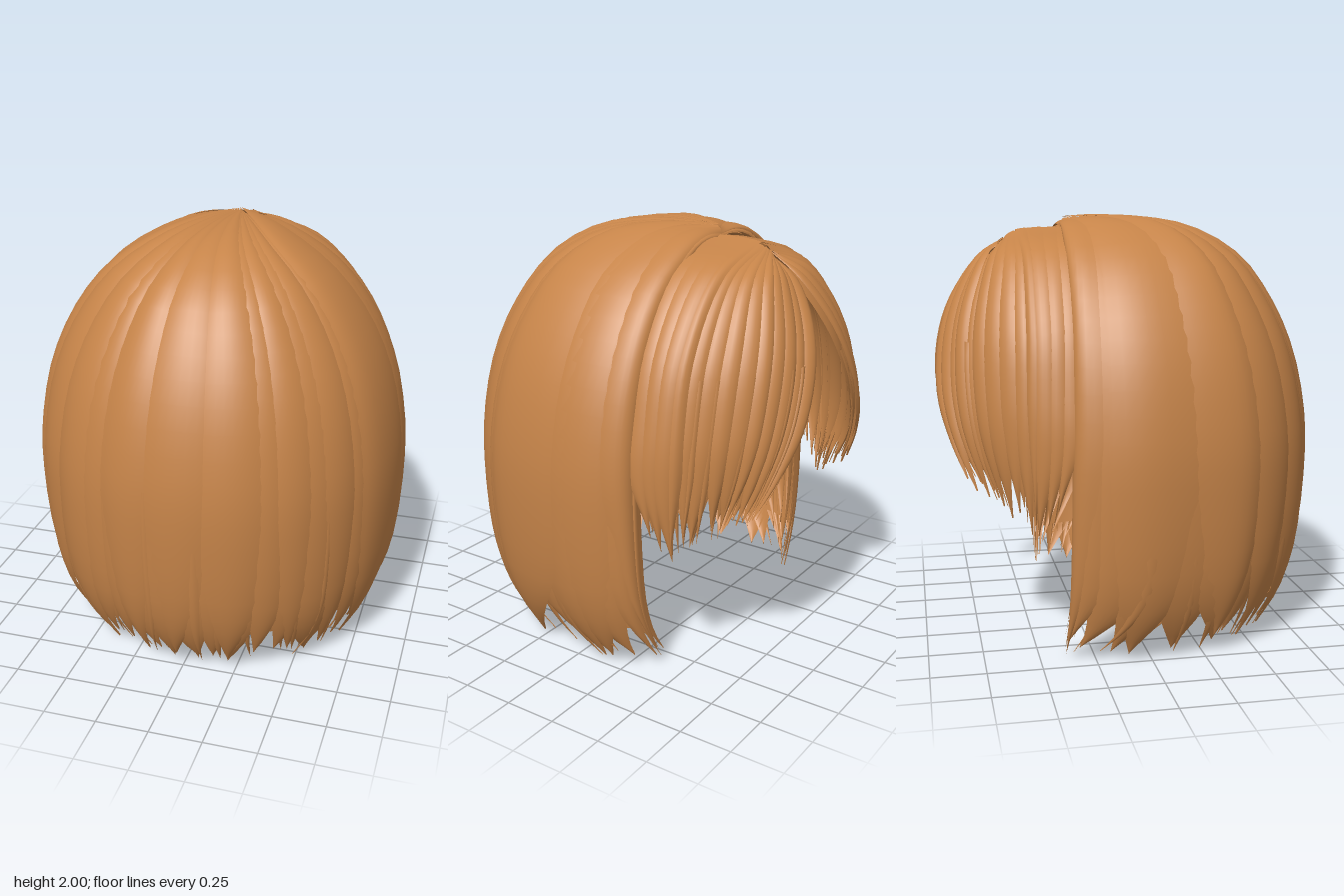
import * as THREE from 'three';

const hair = new THREE.MeshStandardMaterial({ color: 0xc68449, side: THREE.DoubleSide });
hair.name = 'chestnut hair';

const V = (x, y, z) => new THREE.Vector3(x, y, z);
const curve = pts => new THREE.CatmullRomCurve3(pts.map(p => V(...p)));
const { degToRad, smoothstep, lerp, clamp } = THREE.MathUtils;

let seed = 7;
const rnd = (a, b) => {
  seed = (seed * 16807) % 2147483647;
  return a + (b - a) * (seed / 2147483647);
};

// Bob outline from crown to hem: radius, height, z offset of the centre
const profile = curve([
  [0, 1.985, -0.28], [0.14, 1.988, -0.12], [0.3, 1.945, 0], [0.52, 1.81, 0.03],
  [0.7, 1.6, 0.015], [0.82, 1.35, 0.01], [0.885, 1.05, 0.01], [0.898, 0.78, 0.01],
  [0.875, 0.42, 0.005], [0.82, 0.2, 0], [0.72, 0.005, -0.01],
]);

// Point on the bob: angle in degrees from +z towards +x, t from crown to hem.
// Towards the face opening the strands gather along an almost upright edge.
function bobPoint(deg, t) {
  const p = profile.getPoint(Math.min(t, 1)), a = degToRad(deg);
  const w = smoothstep(Math.abs(deg), 62, 115);
  const z = lerp(p.z + p.x * Math.cos(a), -0.31 - 0.07 * t, w);
  const x = p.x * Math.sin(a) * (1 - 0.3 * Math.max(0, -z) * w);
  return V(x, p.y - 0.045 * w * w * (1 - t), z);
}

// Guide strands of one fringe wing, from the parting edge to the temple
const guides = [
  [[0, 1.88, -0.57], [0.005, 1.77, -0.72], [0.1, 1.52, -0.865], [0.24, 1.22, -0.91], [0.37, 0.97, -0.86], [0.45, 0.78, -0.78]],
  [[0, 1.89, -0.57], [0.2, 1.79, -0.67], [0.37, 1.5, -0.755], [0.465, 1.2, -0.765], [0.505, 0.95, -0.73], [0.51, 0.7, -0.65]],
  [[0, 1.925, -0.5], [0.35, 1.81, -0.5], [0.6, 1.5, -0.51], [0.685, 1.2, -0.52], [0.705, 0.9, -0.52], [0.68, 0.6, -0.51]],
  [[0, 1.945, -0.28], [0.38, 1.845, -0.29], [0.64, 1.54, -0.3], [0.755, 1.2, -0.32], [0.79, 0.95, -0.34], [0.78, 0.76, -0.37]],
].map(curve);

function wingPoint(u, t) {
  const across = new THREE.CatmullRomCurve3(guides.map(g => g.getPoint(Math.min(t, 1))), false, 'catmullrom');
  return across.getPoint(clamp(u, 0, 1));
}

// Curved strip that follows a surface and narrows to a pointed tip
function lock(point, o) {
  const { mid, half, t0 = 0, t1 = 1, taper = 0.8, lift = 0, bulge = 0.015, sway = 0, side = 1, flip = false, blunt = false } = o;
  const { rows = 26, cols = 6 } = o;
  const pos = [], index = [];
  for (let i = 0; i <= rows; i++) {
    const k = i / rows, t = t0 + (t1 - t0) * k;
    const tip = Math.max(0, (k - taper) / (1 - taper));
    const width = half * (blunt ? 1 : 1 - Math.pow(tip, 1.4));
    for (let j = 0; j <= cols; j++) {
      const s = (j / cols) * 2 - 1;
      const p = point(mid + sway * tip * tip + width * s, t);
      const out = V(p.x, (p.y - 0.9) * 0.8, p.z).normalize();
      const fade = Math.min(1, t * 3) * (1 - 0.6 * tip);
      p.addScaledVector(out, lift + bulge * (1 - s * s) * fade);
      pos.push(p.x * side, p.y, p.z);
    }
  }
  for (let i = 0; i < rows; i++) {
    for (let j = 0; j < cols; j++) {
      const a = i * (cols + 1) + j, b = a + cols + 1;
      if (flip) index.push(a, a + 1, b, a + 1, b + 1, b);
      else index.push(a, b, a + 1, a + 1, b, b + 1);
    }
  }
  const g = new THREE.BufferGeometry();
  g.setAttribute('position', new THREE.Float32BufferAttribute(pos, 3));
  g.setIndex(index);
  g.computeVertexNormals();
  return g;
}

// Tips near the face opening curl round towards it
const curl = deg => Math.sign(deg) * 9 * smoothstep(Math.abs(deg), 55, 105);

export function createModel() {
  const model = new THREE.Group();
  model.name = 'bobHair';
  const groups = {};
  const add = (part, name, geometry) => {
    if (!groups[part]) {
      groups[part] = new THREE.Group();
      groups[part].name = part;
      model.add(groups[part]);
    }
    const mesh = new THREE.Mesh(geometry, hair);
    mesh.name = name;
    groups[part].add(mesh);
  };

  // Smooth inner shell
  add('innerShell', 'shell', lock(bobPoint, {
    mid: 0, half: 106, t1: 0.89, lift: -0.025, bulge: 0, cols: 48, blunt: true,
  }));

  // Body locks, with pointed tips along the hem
  const count = 28;
  for (let i = 0; i < count; i++) {
    const mid = -107 + (214 * i) / (count - 1);
    add('bodyLocks', 'bodyLock', lock(bobPoint, {
      mid, half: rnd(5.5, 7.5), t1: rnd(0.94, 0.995), taper: rnd(0.78, 0.87),
      lift: rnd(-0.014, -0.002), bulge: 0.014, sway: rnd(-4, 4) + curl(mid),
    }));
  }

  // Broad top locks
  for (let i = 0; i < 13; i++) {
    const mid = -102 + 17 * i + rnd(-3, 3);
    add('broadLocks', 'broadLock', lock(bobPoint, {
      mid, half: rnd(8, 12), t1: rnd(0.94, 1), taper: rnd(0.6, 0.76),
      lift: rnd(-0.006, 0.006), bulge: 0.019, sway: rnd(-6, 6) + curl(mid), cols: 8,
    }));
  }

  // Thin wisps near the hem
  for (let i = 0; i < 44; i++) {
    const mid = -108 + (216 * i) / 43 + rnd(-1.5, 1.5);
    add('hemWisps', 'hemWisp', lock(bobPoint, {
      mid, half: rnd(1.2, 2.8), t0: 0.62, t1: rnd(0.95, 1), taper: 0.45,
      lift: rnd(-0.03, 0.004), bulge: 0.008, sway: rnd(-5, 5) + curl(mid), rows: 14, cols: 4,
    }));
  }

  // Mirrored sides: hidden side locks, then the fringe wing swept from the parting
  for (const side of [1, -1]) {
    const sideName = side > 0 ? 'left' : 'right';
    for (let i = 0; i < 6; i++) {
      add(sideName + 'InnerLocks', 'innerLock', lock(bobPoint, {
        mid: side * (72 + 7 * i), half: rnd(3.5, 5), t0: 0.2, t1: rnd(0.9, 0.97),
        taper: rnd(0.6, 0.75), lift: rnd(-0.06, -0.04), bulge: 0.02, sway: side * rnd(0, 10),
      }));
    }
    const part = sideName + 'Fringe';
    const base = { side, flip: side > 0 };
    for (let i = 0; i < 6; i++) {
      add(part, 'underLock', lock(wingPoint, {
        ...base, mid: 0.1 + 0.15 * i, half: 0.09, t0: 0.12, t1: rnd(0.92, 0.98),
        taper: rnd(0.6, 0.75), lift: rnd(-0.035, -0.02), bulge: 0.012,
      }));
    }
    for (let i = 0; i < 10; i++) {
      add(part, 'fringeLock', lock(wingPoint, {
        ...base, mid: 0.05 + 0.07 * i, half: rnd(0.05, 0.07), t1: rnd(0.94, 1),
        taper: rnd(0.62, 0.78), lift: rnd(-0.012, 0.01), bulge: 0.02, sway: rnd(-0.03, 0.04),
      }));
    }
    for (let i = 0; i < 3; i++) {
      add(part, 'templeLock', lock(wingPoint, {
        ...base, mid: 0.74 + 0.09 * i, half: 0.1, t1: 1 - 0.015 * i,
        taper: 0.7, lift: 0.004 - 0.004 * i, bulge: 0.02, sway: -0.05, cols: 8,
      }));
    }
    for (let i = 0; i < 11; i++) {
      add(part, 'fringeWisp', lock(wingPoint, {
        ...base, mid: 0.03 + 0.07 * i, half: rnd(0.012, 0.025), t0: 0.45, t1: rnd(0.93, 1),
        taper: 0.5, lift: rnd(-0.02, 0.01), bulge: 0.01, sway: rnd(-0.03, 0.03), rows: 14, cols: 4,
      }));
    }
  }
  return model;
}
